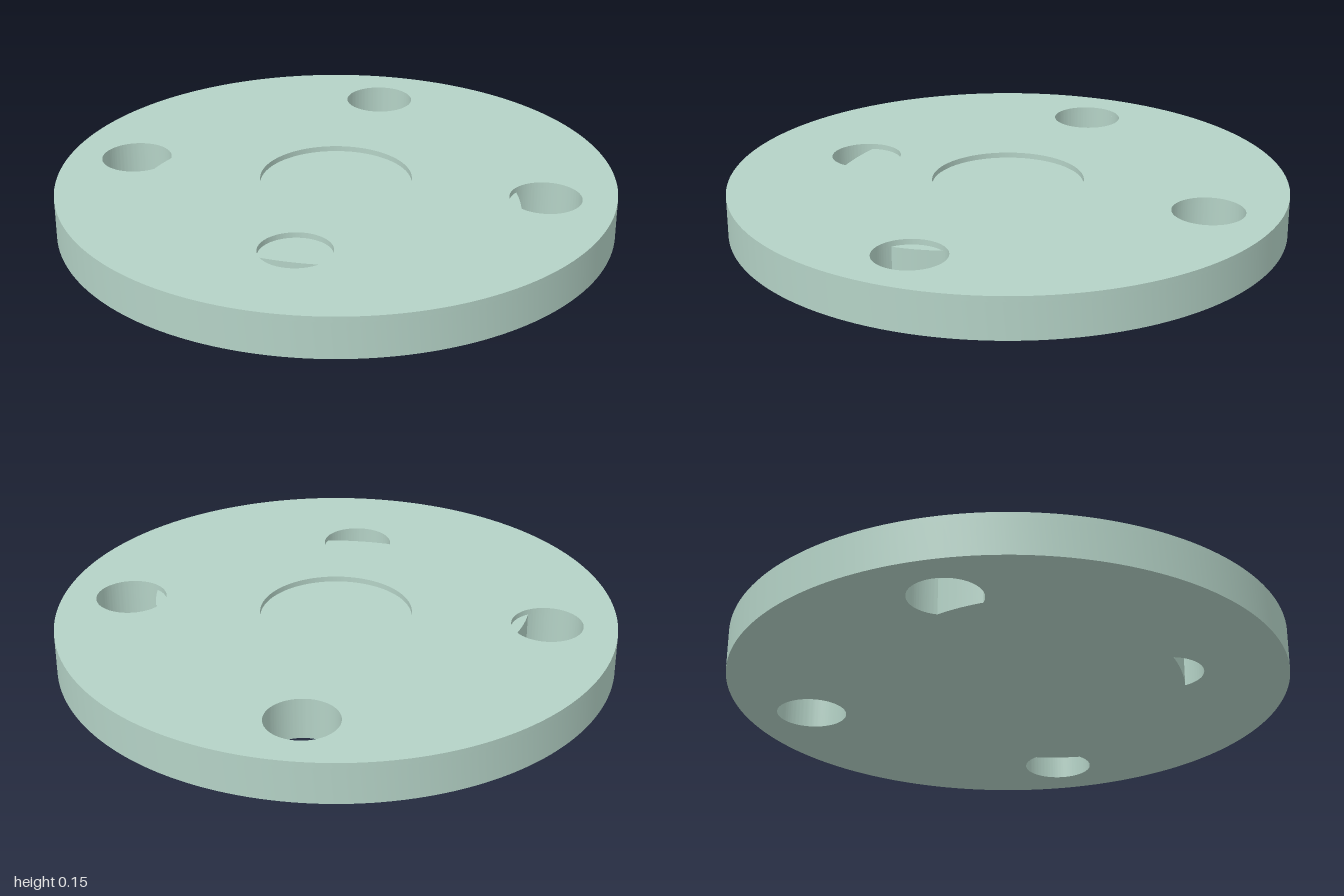
import * as THREE from 'three';
import { toCreasedNormals } from 'three/addons/utils/BufferGeometryUtils.js';

const HEIGHT = 0.15, FLOOR = 0.13, HOLE = 0.127;
const material = new THREE.MeshStandardMaterial({ color: 0xb4d2c6 });
const rad = THREE.MathUtils.degToRad;

// Round hole; plan coordinates are (x, -z)
function roundHole(x, y, r) {
  return new THREE.Path().absarc(x, y, r, 0, Math.PI * 2);
}

// Round hole partly filled: arc from one angle to another, closed by a slightly bowed edge
function cutHole(x, y, from, to, bowX, bowY) {
  const at = (a) => new THREE.Vector2(x + HOLE * Math.cos(rad(a)), y + HOLE * Math.sin(rad(a)));
  const a = at(from), b = at(to);
  const path = new THREE.Path();
  path.absarc(x, y, HOLE, rad(from), rad(to));
  path.quadraticCurveTo((a.x + b.x) / 2 + bowX, (a.y + b.y) / 2 + bowY, a.x, a.y);
  return path;
}

// Disc layer from y0 to y1 with the given holes
function layer(name, y0, y1, holes) {
  const shape = new THREE.Shape();
  shape.absarc(0, 0, 1, 0, Math.PI * 2);
  shape.holes.push(...holes);
  const extruded = new THREE.ExtrudeGeometry(shape, { depth: y1 - y0, bevelEnabled: false, curveSegments: 96 });
  extruded.rotateX(-Math.PI / 2).translate(0, y0, 0);
  const mesh = new THREE.Mesh(toCreasedNormals(extruded, 0.5), material);
  mesh.name = name;
  return mesh;
}

export function createModel() {
  const group = new THREE.Group();
  group.name = 'flangeDisc';

  // Lower body: back hole is open, the other three are partly filled on their inner side
  group.add(layer('lowerBody', 0, FLOOR, [
    roundHole(0, 0.753, HOLE),
    cutHole(0.753, 0, -124, 151, 0.012, 0),
    cutHole(-0.753, 0, 29, 304, -0.012, 0),
    cutHole(0, -0.58, 199, 341, 0, -0.016),
  ]));

  // Thin top layer: full round holes and the shallow centre recess
  group.add(layer('topLayer', FLOOR, HEIGHT, [
    roundHole(0, 0, 0.272),
    roundHole(0, 0.753, HOLE),
    roundHole(0.753, 0, HOLE),
    roundHole(-0.753, 0, HOLE),
    roundHole(0, -0.58, HOLE),
  ]));
  return group;
}
